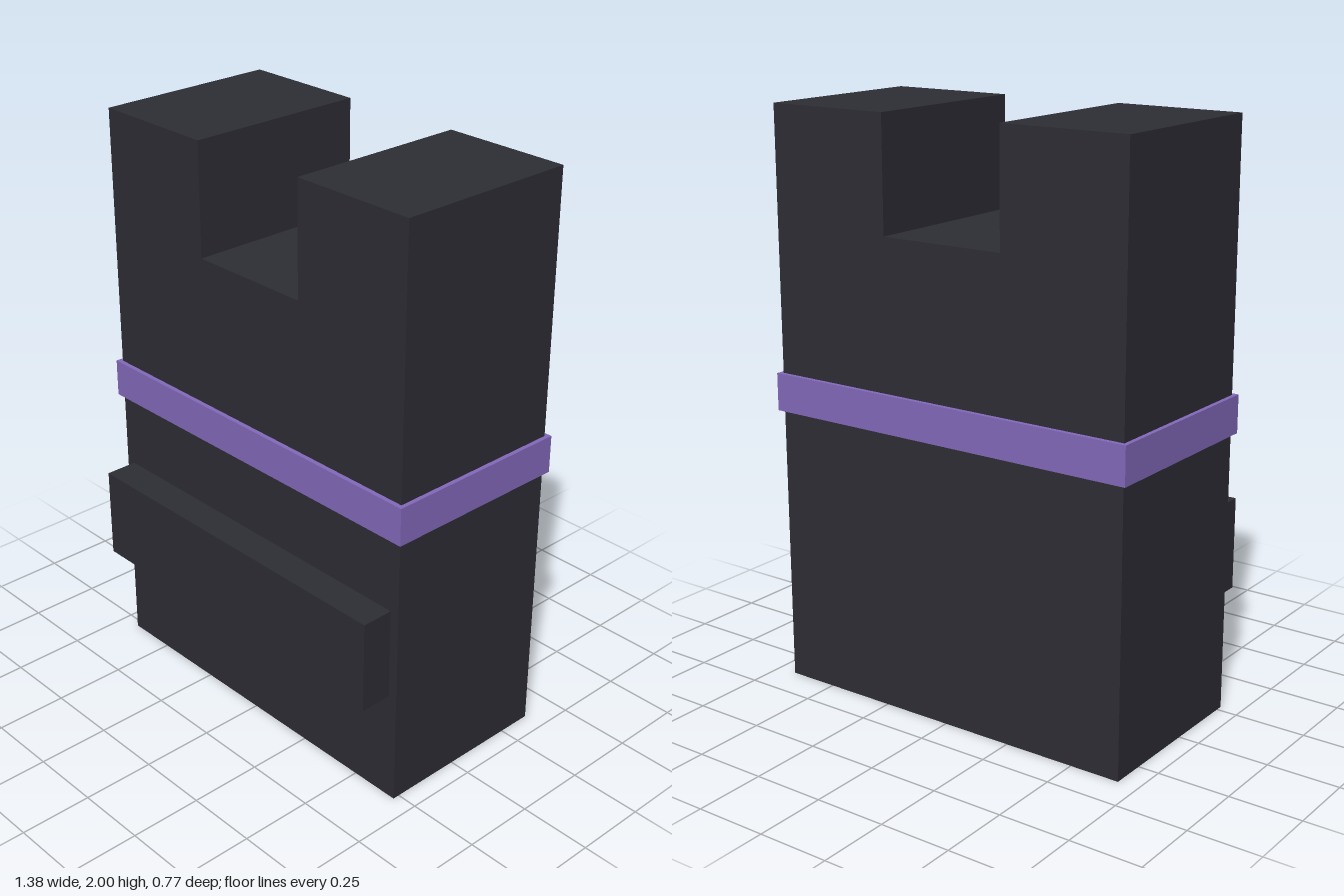
import * as THREE from 'three';

const charcoal = new THREE.MeshStandardMaterial({ color: 0x2d2d35 });
charcoal.name = 'charcoal';
const purple = new THREE.MeshStandardMaterial({ color: 0x8469bc });
purple.name = 'purple';

// Box given by its minimum and maximum corners
function box(name, material, [x0, y0, z0], [x1, y1, z1]) {
  const mesh = new THREE.Mesh(new THREE.BoxGeometry(x1 - x0, y1 - y0, z1 - z0), material);
  mesh.position.set((x0 + x1) / 2, (y0 + y1) / 2, (z0 + z1) / 2);
  mesh.name = name;
  return mesh;
}

export function createModel() {
  const model = new THREE.Group();
  model.name = 'notchedBlock';

  // Body: front outline with a square notch in the top, extruded in depth
  const w = 0.677, notch = 0.226, notchFloor = 1.613, back = -0.371, front = 0.274;
  const outline = new THREE.Shape([
    [-w, 0], [w, 0], [w, 2], [notch, 2],
    [notch, notchFloor], [-notch, notchFloor], [-notch, 2], [-w, 2],
  ].map(([x, y]) => new THREE.Vector2(x, y)));
  const body = new THREE.Mesh(
    new THREE.ExtrudeGeometry(outline, { depth: front - back, bevelEnabled: false }),
    charcoal,
  );
  body.position.z = back;
  body.name = 'body';
  model.add(body);

  // Belt wrapped around the middle
  model.add(box('belt', purple, [-0.692, 0.97, -0.387], [0.692, 1.1, 0.29]));

  // Raised bar on the lower front
  model.add(box('frontBar', charcoal, [-0.644, 0.39, front - 0.01], [0.644, 0.71, 0.387]));

  return model;
}
